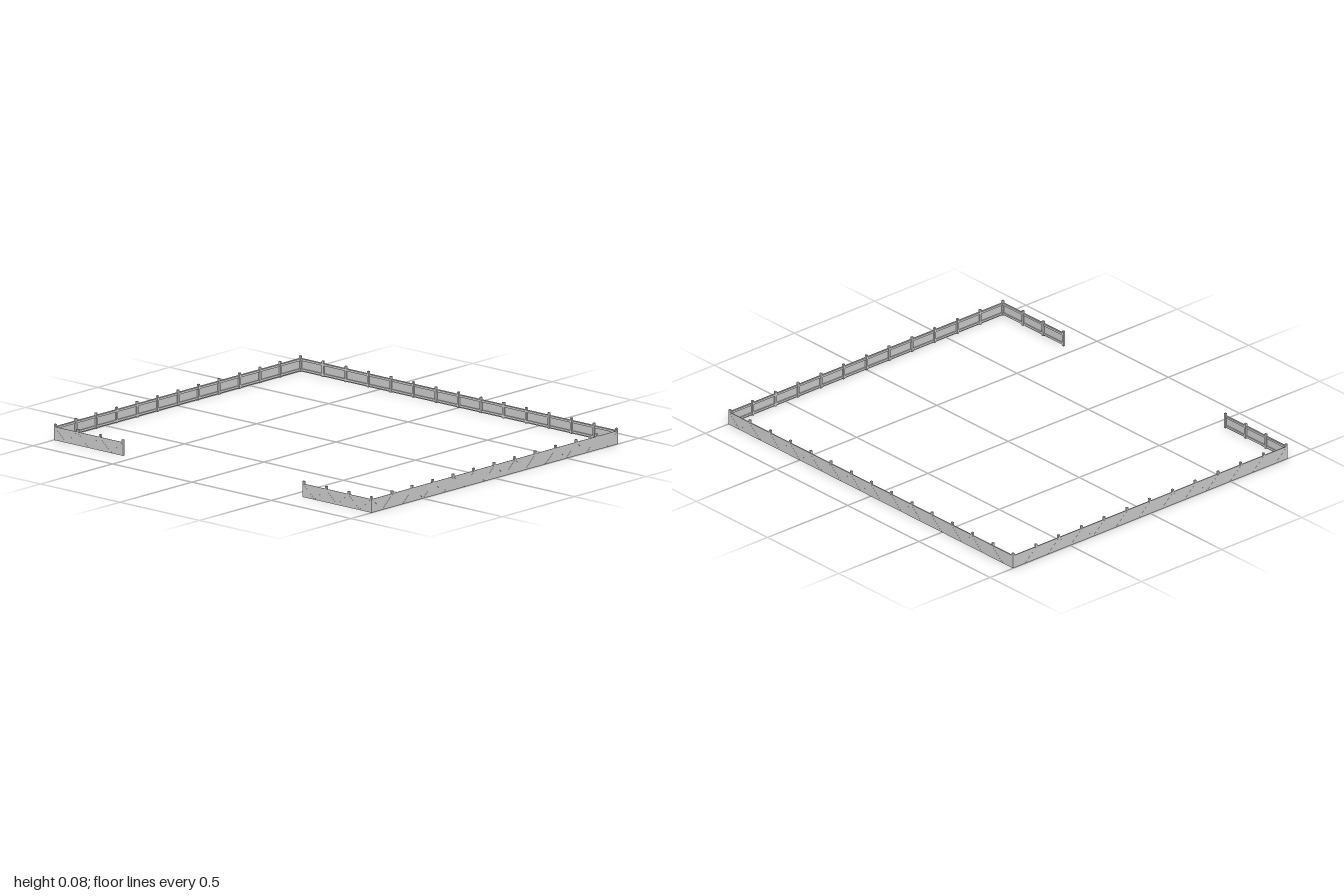
import * as THREE from 'three';

const STEP = 0.142;       // post spacing
const HX = 6 * STEP;      // half width of the enclosure
const HZ = 7 * STEP + 0.001;
const PANEL_H = 0.065, POST_H = 0.077, POST_W = 0.01;

const grey = new THREE.MeshStandardMaterial({ color: 0xcccccc, flatShading: true });

function box(name, w, h, d, x, y, z) {
  const mesh = new THREE.Mesh(new THREE.BoxGeometry(w, h, d), grey);
  mesh.name = name;
  mesh.position.set(x, y, z);
  return mesh;
}

// A straight run of fence: local x runs along it, local +z faces outward.
function fenceRun(name, bays, endPost) {
  const run = new THREE.Group();
  run.name = name;
  const length = bays * STEP, start = -length / 2;

  // Outer sheet and the two rails behind it
  run.add(box('panel', length + POST_W, PANEL_H, 0.002, 0, PANEL_H / 2, 0.0035));
  run.add(box('topRail', length, 0.01, 0.006, 0, PANEL_H - 0.007, 0));
  run.add(box('bottomRail', length, 0.01, 0.006, 0, 0.01, 0));

  // Posts; the far corner post belongs to the next run
  for (let i = 0; i < bays + (endPost ? 1 : 0); i++) {
    run.add(box('post', POST_W, POST_H, POST_W, start + i * STEP, POST_H / 2, -0.0006));
  }

  // V-shaped braces, from the post tops to the foot of each bay
  const rise = PANEL_H - 0.004, half = STEP / 2;
  for (let i = 0; i < bays; i++) {
    for (const side of [-1, 1]) {
      const x = start + (i + 0.5) * STEP + side * half / 2;
      const brace = box('brace', Math.hypot(half, rise) - 0.002, 0.002, 0.002, x, PANEL_H / 2, 0.004);
      brace.rotation.z = side * Math.atan2(rise, half);
      run.add(brace);
    }
  }
  return run;
}

export function createModel() {
  const model = new THREE.Group();
  model.name = 'fence';
  const gateZ = HZ - 1.5 * STEP; // centre of the short runs beside the opening

  const runs = [
    ['frontRun', 12, false, 0, HZ, 0],
    ['leftRun', 14, false, HX, 0, Math.PI / 2],
    ['backRun', 12, false, 0, -HZ, Math.PI],
    ['gateRunBack', 3, true, -HX, -gateZ, -Math.PI / 2],
    ['gateRunFront', 3, false, -HX, gateZ, -Math.PI / 2],
  ];
  for (const [name, bays, endPost, x, z, turn] of runs) {
    const run = fenceRun(name, bays, endPost);
    run.position.set(x, 0, z);
    run.rotation.y = turn;
    model.add(run);
  }
  return model;
}
